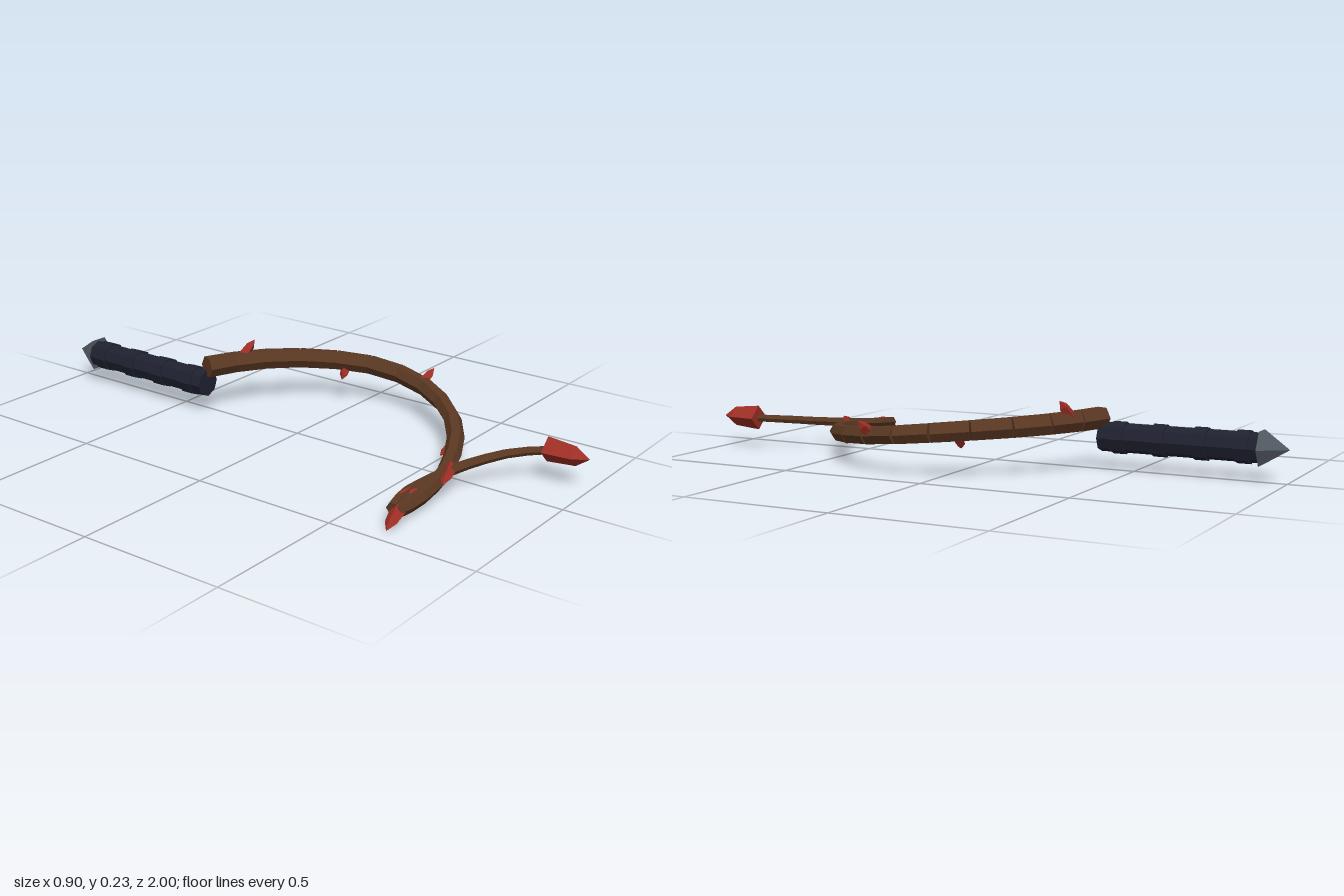
import * as THREE from 'three';

const mat = (name, color) => {
  const m = new THREE.MeshStandardMaterial({ color, flatShading: true });
  m.name = name;
  return m;
};
const V = (a) => new THREE.Vector3(...a);

export function createModel() {
  const group = new THREE.Group();
  const bark = mat('bark brown', 0x5a3822);
  const leather = mat('dark leather', 0x1f2130);
  const steel = mat('steel grey', 0x535962);
  const red = mat('thorn red', 0x9e2e26);

  // Straight faceted piece from a to b, with one corner pointing sideways
  function piece(name, a, b, r0, r1, sides, material) {
    const dir = b.clone().sub(a);
    const length = dir.length();
    dir.normalize();
    const side = new THREE.Vector3(0, 1, 0).cross(dir).normalize();
    const up = dir.clone().cross(side);
    const mesh = new THREE.Mesh(new THREE.CylinderGeometry(r1, r0, length, sides), material);
    mesh.quaternion.setFromRotationMatrix(new THREE.Matrix4().makeBasis(up, dir, side));
    mesh.position.copy(a).lerp(b, 0.5);
    mesh.name = name;
    group.add(mesh);
  }

  // Four-sided spike: tapering body and a short point
  function spike(name, from, to, r, bodyShare = 0.65, shoulder = 0.75) {
    const a = V(from), b = V(to), mid = a.clone().lerp(b, bodyShare);
    piece(name, a, mid, r, r * shoulder, 4, red);
    piece(name + 'Point', mid, b, r * shoulder, 0, 4, red);
  }

  // Chain of tapering segments along a smooth path
  function chain(name, points, count, r0, r1, sides) {
    const pts = new THREE.CatmullRomCurve3(points.map(V)).getPoints(count);
    for (let i = 0; i < count; i++) {
      const r = (k) => THREE.MathUtils.lerp(r0, r1, k / count);
      piece(name + (i + 1), pts[i], pts[i + 1], r(i), r(i + 1), sides, bark);
    }
  }

  // Handle with grip bands and pommel
  const onAxis = (z) => V([-0.021, 0.105, z]);
  piece('handle', onAxis(-0.915), onAxis(-0.378), 0.048, 0.048, 8, leather);
  for (let i = 0; i < 4; i++) {
    const z = -0.443 - i * 0.138;
    piece('gripBand' + (i + 1), onAxis(z - 0.023), onAxis(z + 0.023), 0.053, 0.053, 8, leather);
  }
  piece('pommel', onAxis(-0.91), onAxis(-1), 0.063, 0, 6, steel);

  // Main lash
  chain('lashSegment', [
    [-0.025, 0.166, -0.377], [0.11, 0.164, -0.32], [0.24, 0.16, -0.225],
    [0.345, 0.152, -0.09], [0.405, 0.14, 0.06], [0.395, 0.122, 0.22],
    [0.32, 0.105, 0.37], [0.2, 0.088, 0.495], [0.06, 0.072, 0.58],
    [-0.08, 0.059, 0.635], [-0.2, 0.049, 0.657], [-0.3, 0.041, 0.662],
    [-0.375, 0.036, 0.65],
  ], 16, 0.038, 0.023, 6);

  // Thin tail that turns back from the end of the lash
  chain('tailSegment', [
    [-0.375, 0.042, 0.64], [-0.29, 0.052, 0.624], [-0.2, 0.061, 0.635],
    [-0.1, 0.074, 0.663], [0.0, 0.087, 0.71], [0.09, 0.1, 0.775],
    [0.158, 0.108, 0.862],
  ], 10, 0.021, 0.013, 6);

  // Barbs at the two ends
  spike('tailHead', [0.16, 0.11, 0.855], [0.16, 0.11, 1.0], 0.042, 0.68, 0.78);
  spike('lashTip', [-0.365, 0.036, 0.652], [-0.455, 0.01, 0.672], 0.025, 0.6, 0.75);

  // Thorns along the lash: base, tip, radius
  [
    [[0.11, 0.18, -0.325], [0.15, 0.235, -0.305], 0.022],
    [[0.36, 0.135, -0.055], [0.325, 0.09, -0.05], 0.02],
    [[0.39, 0.125, 0.245], [0.438, 0.17, 0.262], 0.022],
    [[0.12, 0.065, 0.54], [0.066, 0.033, 0.525], 0.02],
    [[-0.08, 0.078, 0.655], [-0.185, 0.064, 0.69], 0.022],
    [[-0.25, 0.055, 0.635], [-0.33, 0.064, 0.622], 0.016],
  ].forEach(([a, b, r], i) => spike('thorn' + (i + 1), a, b, r));

  return group;
}
